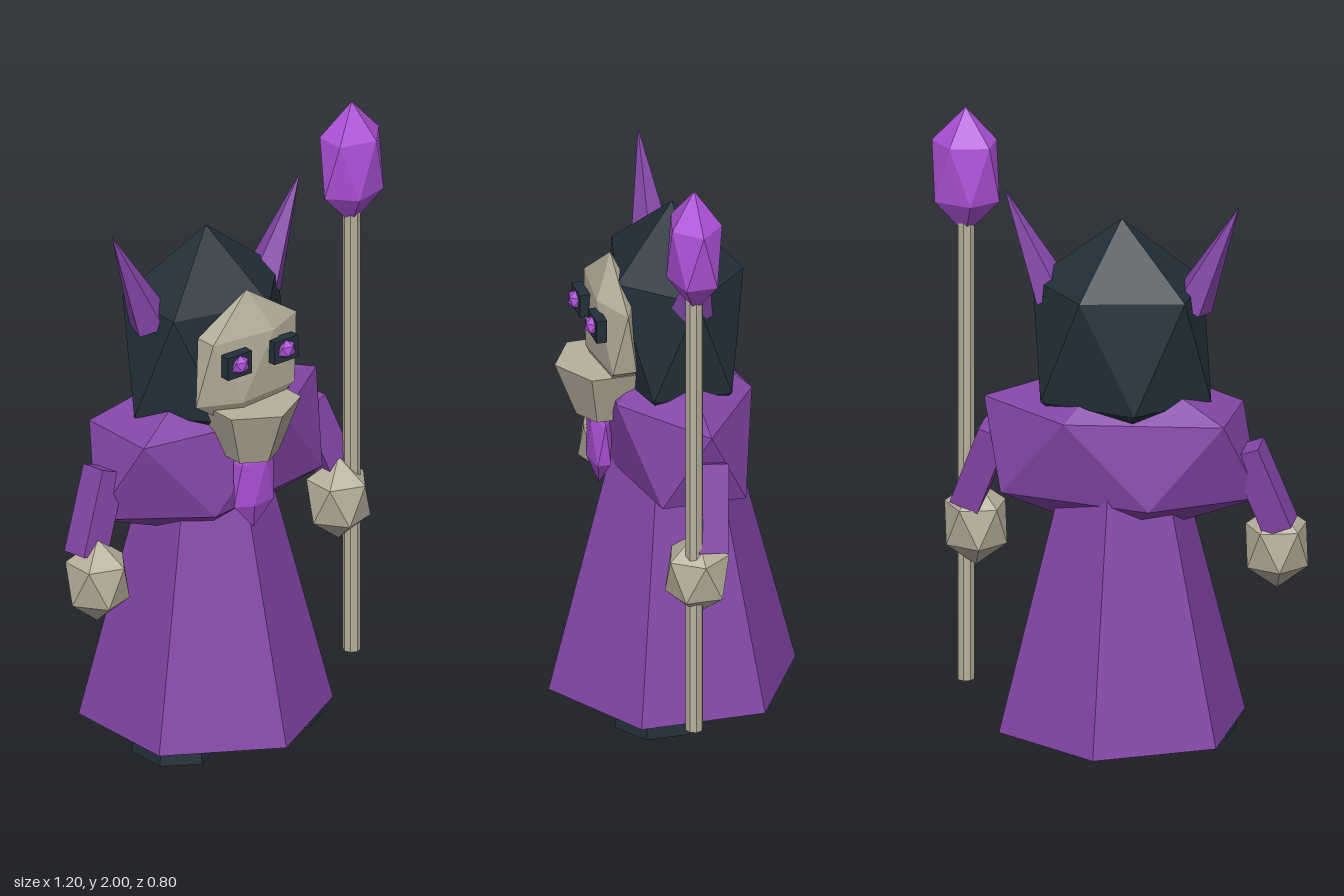
import * as THREE from 'three';

const CX = -0.024; // the body's own centre line

const paint = (name, color) => {
  const m = new THREE.MeshStandardMaterial({ color });
  m.name = name;
  return m;
};

// Gives every face its own normal
function facet(geometry) {
  const g = geometry.index ? geometry.toNonIndexed() : geometry;
  g.computeVertexNormals();
  return g;
}

// Stretched icosahedron standing on a corner: rx and rz are the ring radii, h is half the height
function gem(rx, h, rz) {
  const pos = [0, h, 0];
  for (const level of [0, 1]) {
    for (let i = 0; i < 5; i++) {
      const a = ((i + level / 2) * Math.PI * 2) / 5;
      pos.push(rx * Math.cos(a), (level ? -0.447 : 0.447) * h, rz * Math.sin(a));
    }
  }
  pos.push(0, -h, 0);
  const index = [];
  for (let i = 0; i < 5; i++) {
    const j = (i + 1) % 5;
    const [u, v, l, m] = [1 + i, 1 + j, 6 + i, 6 + j];
    index.push(0, v, u, u, v, l, l, v, m, 11, l, m);
  }
  const g = new THREE.BufferGeometry();
  g.setAttribute('position', new THREE.Float32BufferAttribute(pos, 3));
  g.setIndex(index);
  return facet(g);
}

const prism = (top, bottom, height, sides) =>
  facet(new THREE.CylinderGeometry(top, bottom, height, sides));

export function createModel() {
  const model = new THREE.Group();
  model.name = 'hoodedMage';

  const purple = paint('robePurple', 0x8446a8);
  const bright = paint('crystalPurple', 0xae52d9);
  const dark = paint('darkSlate', 0x22303a);
  const bone = paint('bone', 0xb8b09c);

  function add(name, geometry, material, x, y, z) {
    const mesh = new THREE.Mesh(geometry, material);
    mesh.name = name;
    mesh.position.set(x, y, z);
    model.add(mesh);
    return mesh;
  }

  // Places a part whose length runs along y between two points
  function span(name, geometry, material, from, to) {
    const a = new THREE.Vector3(...from);
    const b = new THREE.Vector3(...to);
    const mid = a.clone().add(b).multiplyScalar(0.5);
    const mesh = add(name, geometry, material, mid.x, mid.y, mid.z);
    mesh.quaternion.setFromUnitVectors(new THREE.Vector3(0, 1, 0), b.sub(a).normalize());
    return mesh;
  }

  // Robe and shoulder cape
  add('robe', prism(0.19, 0.4, 0.83, 6), purple, CX, 0.465, 0);
  add('shoulderCape', gem(0.44, 0.3, 0.23), purple, CX, 0.95, 0);

  // Three foot blocks under the hem
  for (const i of [-1, 0, 1]) {
    const foot = add('foot', prism(0.125, 0.14, 0.1, 6), dark, CX + i * 0.213, 0.05, 0.108);
    foot.scale.x = 0.93;
  }

  // Hood, face mask and beard
  add('hood', gem(0.285, 0.4, 0.216), dark, CX, 1.3, 0);
  add('faceMask', gem(0.2, 0.24, 0.065), bone, CX, 1.31, 0.2);
  add('beard', prism(0.16, 0.09, 0.18, 6), bone, CX, 1.09, 0.22);
  add('chestGem', gem(0.078, 0.16, 0.036), bright, CX, 0.91, 0.237);

  for (const s of [-1, 1]) {
    // Eye sockets and eyes
    const ex = CX + s * 0.092;
    add('eyeSocket', facet(new THREE.BoxGeometry(0.096, 0.076, 0.034)), dark, ex, 1.347, 0.268);
    add('eye', gem(0.032, 0.032, 0.026), bright, ex, 1.35, 0.283);

    // Horns
    const horn = prism(0, 0.07, 0.37, 5);
    span('horn', horn, purple, [CX + s * 0.22, 1.43, 0], [CX + s * 0.375, 1.77, 0]);

    // Arms and hands
    const arm = facet(new THREE.BoxGeometry(0.095, 0.28, 0.095));
    span('arm', arm, purple, [CX + s * 0.5, 0.72, 0.025], [CX + s * 0.4, 0.98, -0.005]);
    add('hand', gem(0.1, 0.14, 0.1), bone, CX + s * 0.48, 0.645, 0.06);
  }

  // Staff with its crystal
  add('staff', prism(0.028, 0.028, 1.56, 8), bone, 0.493, 0.9, 0.08);
  add('staffCrystal', gem(0.108, 0.21, 0.085), bright, 0.493, 1.79, 0.08);

  return model;
}
